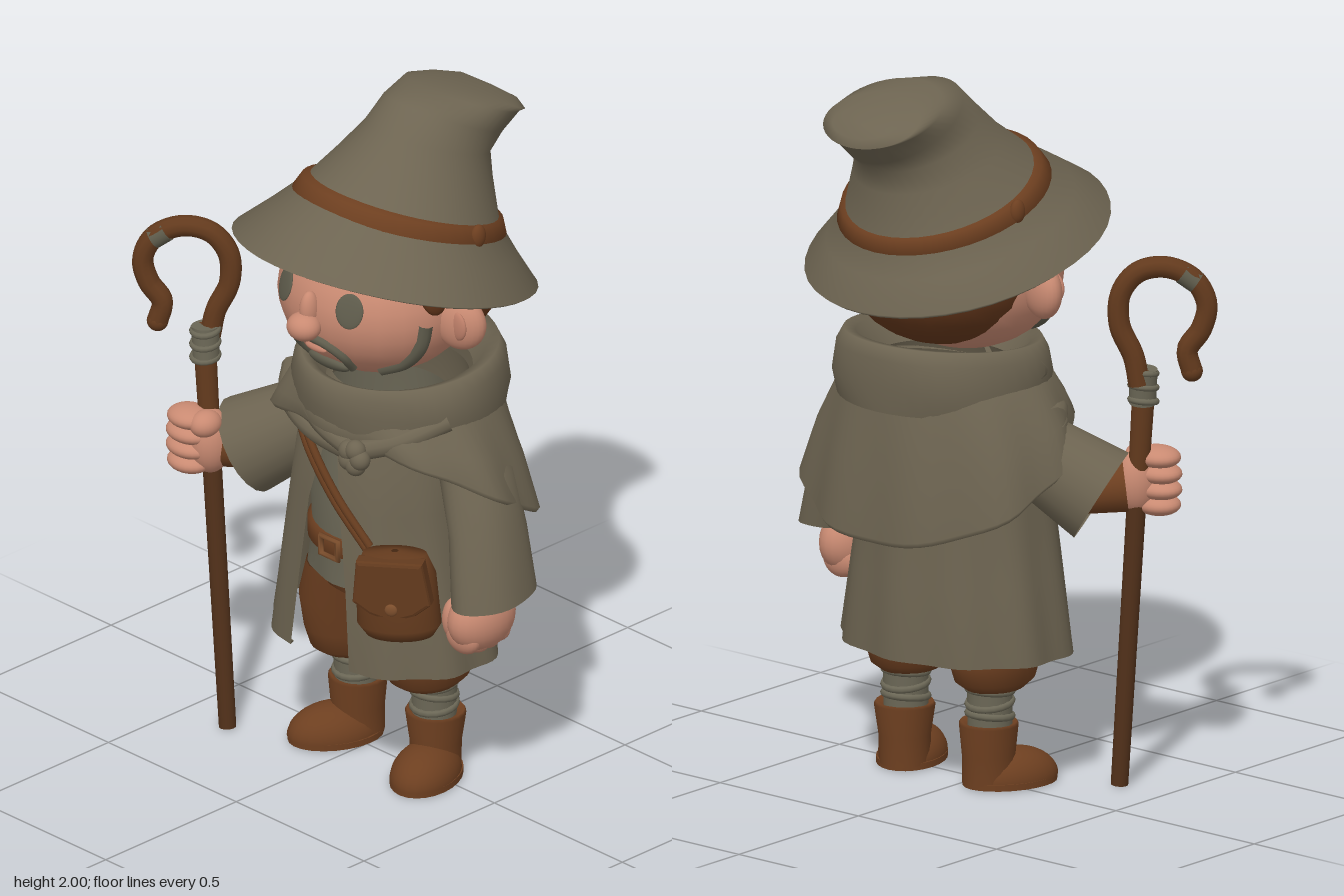
import * as THREE from 'three';

const V = (x, y, z) => new THREE.Vector3(x, y, z);

function mat(name, color, double = false) {
  const m = new THREE.MeshStandardMaterial({ color });
  m.name = name;
  if (double) m.side = THREE.DoubleSide;
  return m;
}

// Skin over elliptical rings, bottom to top: [cx, cy, cz, rx, rz, frontRise, foldDepth, frontGap]
function loft(rings, { seg = 40, folds = 8, open = false } = {}) {
  const pos = [], idx = [], n = open ? seg + 1 : seg;
  for (const [cx, cy, cz, rx, rz, rise = 0, fold = 0, gap = 0] of rings) {
    for (let j = 0; j < n; j++) {
      const t = gap + (j / seg) * (Math.PI * 2 - 2 * gap);
      const k = 1 + fold * Math.cos(folds * t);
      pos.push(cx + rx * k * Math.sin(t), cy + rise * Math.cos(t), cz + rz * k * Math.cos(t));
    }
  }
  for (let i = 0; i < rings.length - 1; i++) {
    for (let j = 0; j < seg; j++) {
      const a = i * n + j, b = i * n + (j + 1) % n;
      idx.push(a, b, a + n, b, b + n, a + n);
    }
  }
  const g = new THREE.BufferGeometry();
  g.setAttribute('position', new THREE.Float32BufferAttribute(pos, 3));
  g.setIndex(idx);
  g.computeVertexNormals();
  return g;
}

export function createModel() {
  const root = new THREE.Group();
  const cloth = mat('olive cloth', 0x6d6451, true);
  const shirtMat = mat('shirt grey', 0x6b6756, true);
  const leather = mat('brown leather', 0x6d3f20, true);
  const darkLeather = mat('dark leather', 0x633a1d, true);
  const hairMat = mat('brown hair', 0x64371b);
  const skin = mat('skin', 0xc98a72);
  const lipMat = mat('lips', 0xbf806a);
  const grey = mat('grey green', 0x5f5c4c);
  const wood = mat('dark wood', 0x52311a);
  const metal = mat('buckle bronze', 0x7c4e2c);

  function add(name, geo, material, p = [0, 0, 0], s = [1, 1, 1], parent = root) {
    const m = new THREE.Mesh(geo, material);
    m.name = name;
    m.position.set(...p);
    m.scale.set(...s);
    parent.add(m);
    return m;
  }
  const ball = (name, material, p, s, parent) =>
    add(name, new THREE.SphereGeometry(1, 24, 16), material, p, s, parent);
  const tube = (name, material, pts, r, seg = 24) =>
    add(name, new THREE.TubeGeometry(new THREE.CatmullRomCurve3(pts.map(p => V(...p))), seg, r, 10), material);
  // Tapered cylinder between two points
  function limb(name, material, a, b, ra, rb, openEnded = false) {
    const A = V(...a), B = V(...b), d = B.clone().sub(A);
    const m = add(name, new THREE.CylinderGeometry(rb, ra, d.length(), 20, 3, openEnded), material);
    m.position.copy(A).add(B).multiplyScalar(0.5);
    m.quaternion.setFromUnitVectors(V(0, 1, 0), d.normalize());
    return m;
  }

  // Hat with its tip bent backwards
  add('hat', loft([
    [0.08, 1.515, 0.01, 0.405, 0.405, 0.125, 0.005], [0.08, 1.525, 0.01, 0.42, 0.42, 0.125, 0.005],
    [0.08, 1.6, -0.02, 0.34, 0.342, 0.11, 0.01],
    [0.08, 1.675, -0.055, 0.272, 0.268, 0.095], [0.085, 1.785, -0.107, 0.208, 0.21, 0.065],
    [0.09, 1.85, -0.145, 0.168, 0.177, 0.07], [0.09, 1.9, -0.205, 0.158, 0.167, 0.085],
    [0.09, 1.935, -0.28, 0.168, 0.145, 0.065], [0.095, 1.925, -0.335, 0.155, 0.095, 0.055],
    [0.095, 1.925, -0.375, 0.1, 0.045, 0.03], [0.095, 1.925, -0.38, 0.001, 0.001],
  ], { folds: 5 }), cloth);
  add('hatBand', loft([
    [0.08, 1.65, -0.045, 0.275, 0.275, 0.098], [0.08, 1.652, -0.047, 0.296, 0.292, 0.098],
    [0.08, 1.69, -0.06, 0.278, 0.274, 0.095], [0.08, 1.695, -0.063, 0.255, 0.252, 0.093],
  ]), leather);
  for (const s of [-1, 1]) ball('hatBandKnot', leather, [0.08 + s * 0.284, 1.665, -0.07], [0.018, 0.035, 0.025]);

  // Head: face ellipsoid, with a rule that finds its surface
  const C = [0.07, 1.44, 0.03], R = [0.28, 0.225, 0.265];
  const faceZ = (x, y) => C[2] + R[2] * Math.sqrt(Math.max(0, 1 - ((x - C[0]) / R[0]) ** 2 - ((y - C[1]) / R[1]) ** 2));
  const onFace = (x, y, lift = 0) => [x, y, faceZ(x, y) + lift];
  const toward = (...d) => V(...d).normalize().toArray().map((v, i) => C[i] + v * R[i] * 0.95);
  function facePatch(name, material, x, y, s, roll = 0) {
    const p = onFace(x, y), m = ball(name, material, p, s);
    m.lookAt(p[0] + (p[0] - C[0]) / R[0] ** 2, p[1] + (p[1] - C[1]) / R[1] ** 2, p[2] + (p[2] - C[2]) / R[2] ** 2);
    m.rotateZ(roll);
  }
  ball('head', skin, C, R);
  ball('hair', hairMat, [0.08, 1.47, -0.065], [0.28, 0.225, 0.255]);
  ball('nose', skin, onFace(0.075, 1.42, 0.02), [0.05, 0.04, 0.046]);
  ball('noseBridge', skin, onFace(0.075, 1.465, 0), [0.025, 0.055, 0.03]);
  facePatch('lowerLip', lipMat, 0.075, 1.34, [0.04, 0.011, 0.012]);
  facePatch('chinBeard', grey, 0.075, 1.28, [0.075, 0.03, 0.02]);
  for (const s of [-1, 1]) {
    const X = d => C[0] + 0.005 + s * d;
    facePatch('eye', grey, X(0.122), 1.49, [0.04, 0.05, 0.007]);
    tube('eyebrow', hairMat, [onFace(X(0.05), 1.605), onFace(X(0.11), 1.592), onFace(X(0.17), 1.56)], 0.014);
    tube('moustache', grey, [onFace(X(0), 1.378), onFace(X(0.05), 1.368), onFace(X(0.085), 1.335), onFace(X(0.08), 1.285)], 0.014);
    // Whiskers below the ear
    tube('jawWhiskers', grey, [toward(s, 0.02, 0.28), toward(s, -0.35, 0.32), toward(s * 0.8, -0.65, 0.38), toward(s * 0.55, -0.8, 0.5)], 0.026);
    // Ear with inner bowl
    const ear = ball('ear', skin, [C[0] + s * 0.3, 1.43, 0.005], [0.078, 0.08, 0.045]);
    ear.rotation.y = s * 0.35;
    ball('earBowl', lipMat, [C[0] + s * 0.318, 1.435, 0.034], [0.035, 0.043, 0.012]);
    const lock = ball('sideLock', hairMat, [C[0] + s * 0.258, 1.54, 0.06], [0.025, 0.08, 0.055]);
    lock.rotation.z = s * 0.15;
  }
  for (const [x, roll] of [[0.04, -0.4], [0.12, 0.6]])
    facePatch('forelock', hairMat, x, 1.615, [0.014, 0.04, 0.014], roll);

  // Collar, cape, drape folds and knot
  add('collar', loft([
    [0.1, 1.09, -0.03, 0.3, 0.28], [0.1, 1.16, -0.03, 0.312, 0.29, 0, 0.015],
    [0.1, 1.225, -0.03, 0.298, 0.285, -0.015, 0.01], [0.1, 1.26, -0.03, 0.275, 0.27, -0.02],
    [0.1, 1.25, -0.03, 0.24, 0.24, -0.025], [0.1, 1.17, -0.03, 0.2, 0.2, -0.03],
  ], { folds: 5 }), cloth);
  add('cape', loft([
    [0.1, 0.9, -0.045, 0.41, 0.29, 0.18, 0.03], [0.1, 0.915, -0.045, 0.42, 0.3, 0.18, 0.03],
    [0.095, 1.03, -0.035, 0.375, 0.285, 0.09, 0.02], [0.09, 1.15, -0.03, 0.305, 0.265, 0.02],
    [0.1, 1.2, -0.03, 0.25, 0.24],
  ], { seg: 64, folds: 9 }), cloth);
  const folds = [
    [[-0.19, 1.19, 0.02], [-0.1, 1.14, 0.15], [0.05, 1.09, 0.225], [0.2, 1.055, 0.24]],
    [[-0.27, 1.07, 0.02], [-0.17, 1.06, 0.13], [0, 1.05, 0.215], [0.2, 1.045, 0.235]],
    [[0.21, 1.06, 0.235], [0.31, 1.1, 0.17], [0.38, 1.15, 0.06]],
  ];
  for (const pts of folds) tube('drapeFold', cloth, pts, 0.03);
  for (let i = 0; i < 5; i++) {
    const a = i * Math.PI * 0.4;
    ball('knotLobe', cloth, [0.215 + 0.024 * Math.cos(a), 1.05 + 0.024 * Math.sin(a), 0.26], [0.03, 0.03, 0.028]);
  }

  // Open-fronted coat, shirt and belt
  add('coat', loft([
    [0.075, 0.39, 0, 0.335, 0.265, 0, 0.02, 0.34], [0.075, 0.38, 0, 0.35, 0.275, 0, 0.025, 0.34],
    [0.075, 0.6, 0, 0.315, 0.26, 0, 0.02, 0.3], [0.075, 0.85, 0, 0.275, 0.243, 0, 0.01, 0.22],
    [0.085, 1.04, -0.01, 0.265, 0.23, 0, 0, 0.08], [0.1, 1.18, -0.03, 0.2, 0.18, 0, 0, 0.05],
  ], { seg: 64, folds: 10, open: true }), cloth);
  add('shirt', loft([
    [0.07, 0.575, 0, 0.22, 0.195, 0.01, 0.02], [0.07, 0.7, 0, 0.2, 0.195],
    [0.07, 0.85, 0, 0.2, 0.205, 0, 0.01], [0.07, 1.1, 0, 0.19, 0.18],
  ]), shirtMat);
  add('belt', loft([
    [0.07, 0.675, 0, 0.2, 0.19], [0.07, 0.68, 0, 0.212, 0.21],
    [0.07, 0.73, 0, 0.212, 0.21], [0.07, 0.735, 0, 0.2, 0.19],
  ]), leather);
  add('buckle', new THREE.TorusGeometry(0.038, 0.009, 6, 4).rotateZ(Math.PI / 4), metal, [0.075, 0.705, 0.216], [1.2, 1, 1]);

  // Trousers, socks and boots
  add('trouserSeat', loft([
    [0.08, 0.51, 0, 0.01, 0.1], [0.08, 0.55, 0, 0.2, 0.165], [0.08, 0.64, 0, 0.21, 0.175],
  ]), leather);
  for (const s of [-1, 1]) {
    const x = 0.082 + s * 0.152;
    add('trouserLeg', loft([
      [x, 0.285, -0.01, 0.01, 0.01], [x, 0.275, -0.01, 0.075, 0.09], [x, 0.3, -0.01, 0.1, 0.125],
      [x, 0.36, -0.01, 0.115, 0.145], [x - s * 0.005, 0.46, 0, 0.125, 0.155], [x - s * 0.04, 0.58, 0, 0.12, 0.165],
    ], { seg: 24 }), leather);
    add('sock', new THREE.CylinderGeometry(0.064, 0.062, 0.14, 18), shirtMat, [x, 0.225, -0.03]);
    for (const [y, tilt] of [[0.2, 0.12], [0.235, -0.15], [0.27, 0.1]])
      add('sockWrap', new THREE.TorusGeometry(0.06, 0.011, 8, 18).rotateX(Math.PI / 2 + tilt), shirtMat, [x, y, -0.03]);
    const boot = new THREE.Group();
    boot.name = 'boot';
    boot.position.set(x, 0, -0.035);
    boot.rotation.y = s * 0.4;
    root.add(boot);
    add('bootShaft', loft([
      [0, 0.01, 0, 0.07, 0.075], [0, 0.09, 0, 0.072, 0.075], [0, 0.175, 0, 0.085, 0.082],
      [0, 0.183, 0, 0.08, 0.077], [0, 0.17, 0, 0.055, 0.055],
    ], { seg: 20 }), leather, undefined, undefined, boot);
    add('bootFoot', new THREE.SphereGeometry(1, 24, 10, 0, Math.PI * 2, 0, Math.PI / 2), leather, [0, 0.015, 0.07], [0.092, 0.085, 0.135], boot);
    add('bootSole', new THREE.CylinderGeometry(1, 1, 0.018, 24), leather, [0, 0.009, 0.065], [0.094, 1, 0.137], boot);
  }

  // Left arm hanging down, wide cuff cut level
  add('leftSleeve', loft([
    [0.5, 0.65, 0.005, 0.085, 0.125, -0.01, 0.02], [0.5, 0.64, 0.005, 0.095, 0.135, -0.01, 0.02],
    [0.455, 0.82, -0.015, 0.092, 0.12, 0, 0.02], [0.39, 0.98, -0.035, 0.095, 0.11],
    [0.3, 1.1, -0.04, 0.09, 0.1],
  ], { seg: 32, folds: 5 }), cloth);
  limb('leftForearm', skin, [0.45, 0.82, -0.01], [0.48, 0.62, 0.02], 0.05, 0.055);
  ball('leftHand', skin, [0.485, 0.58, 0.035], [0.074, 0.095, 0.11]);
  for (let i = 0; i < 4; i++)
    ball('leftFinger', skin, [0.475, 0.525 + Math.abs(i - 1.5) * 0.008, -0.02 + i * 0.038], [0.06, 0.052, 0.034]);
  ball('leftThumb', skin, [0.435, 0.575, 0.09], [0.033, 0.062, 0.035]);

  // Right arm reaching for the staff
  limb('rightSleeve', cloth, [-0.08, 1.02, -0.02], [-0.34, 0.84, 0.125], 0.1, 0.14, true);
  limb('rightBracer', leather, [-0.25, 0.84, 0.07], [-0.375, 0.86, 0.185], 0.06, 0.072);
  ball('rightPalm', skin, [-0.385, 0.87, 0.22], [0.06, 0.095, 0.065]);
  for (let i = 0; i < 4; i++)
    ball('rightFinger', skin, [-0.432, 0.805 + i * 0.045, 0.255], [0.076 - Math.abs(i - 1.5) * 0.006, 0.031, 0.058]);
  ball('rightThumb', skin, [-0.375, 0.935, 0.25], [0.042, 0.038, 0.048]);

  // Staff with crook and binding
  limb('staffShaft', wood, [-0.34, 0, 0.2], [-0.4, 0.85, 0.205], 0.024, 0.027);
  limb('staffNeck', darkLeather, [-0.4, 0.83, 0.205], [-0.428, 1.2, 0.205], 0.028, 0.032);
  const crook = [[-0.427, 1.16], [-0.415, 1.24], [-0.385, 1.33], [-0.388, 1.42], [-0.425, 1.48], [-0.485, 1.495],
    [-0.545, 1.46], [-0.572, 1.39], [-0.56, 1.32], [-0.53, 1.26], [-0.54, 1.2]];
  const crookZ = x => 0.2 - (x + 0.45) * 0.8;
  tube('staffCrook', darkLeather, crook.map(([x, y]) => [x, y, crookZ(x)]), 0.03, 60);
  ball('crookTip', darkLeather, [-0.54, 1.2, 0.272], [0.03, 0.03, 0.03]);
  limb('crookWrap', grey, [-0.52, 1.479, crookZ(-0.52)], [-0.55, 1.452, crookZ(-0.55)], 0.031, 0.031);
  limb('staffBinding', shirtMat, [-0.42, 1.1, 0.204], [-0.427, 1.2, 0.2], 0.037, 0.039);
  for (const y of [1.11, 1.15, 1.19])
    add('staffCord', new THREE.TorusGeometry(0.036, 0.009, 8, 18).rotateX(Math.PI / 2 + 0.15), shirtMat, [-0.424, y, 0.203]);

  // Satchel and strap
  const bag = new THREE.Group();
  bag.name = 'satchel';
  bag.position.set(0.345, 0.67, 0.22);
  bag.rotation.set(0, 0.55, 0.06);
  root.add(bag);
  add('satchelBody', loft([
    [0, -0.125, 0, 0.02, 0.01], [0, -0.125, 0, 0.095, 0.06], [0, -0.09, 0, 0.118, 0.08],
    [0, 0.06, 0, 0.112, 0.07], [0, 0.12, 0, 0.09, 0.045], [0, 0.125, 0, 0.01, 0.01],
  ]), darkLeather, undefined, undefined, bag);
  const flap = new THREE.Shape([[-0.085, 0.11], [-0.1, 0], [-0.06, -0.03], [0, -0.05], [0.06, -0.03], [0.1, 0], [0.085, 0.11]]
    .map(p => new THREE.Vector2(...p)));
  add('satchelFlap', new THREE.ExtrudeGeometry(flap, { depth: 0.035, bevelSize: 0.01, bevelThickness: 0.01, bevelSegments: 2 }), darkLeather, [0, 0, 0.03], undefined, bag);
  ball('satchelClasp', metal, [0, -0.02, 0.077], [0.018, 0.018, 0.008], bag);
  const strap = [[-0.06, 1.07, 0.2], [0.02, 1.0, 0.235], [0.13, 0.89, 0.248], [0.26, 0.785, 0.25]];
  for (const d of [-0.007, 0.007])
    tube('satchelStrap', darkLeather, strap.map(([x, y, z]) => [x + d, y + d, z]), 0.011);

  return root;
}
